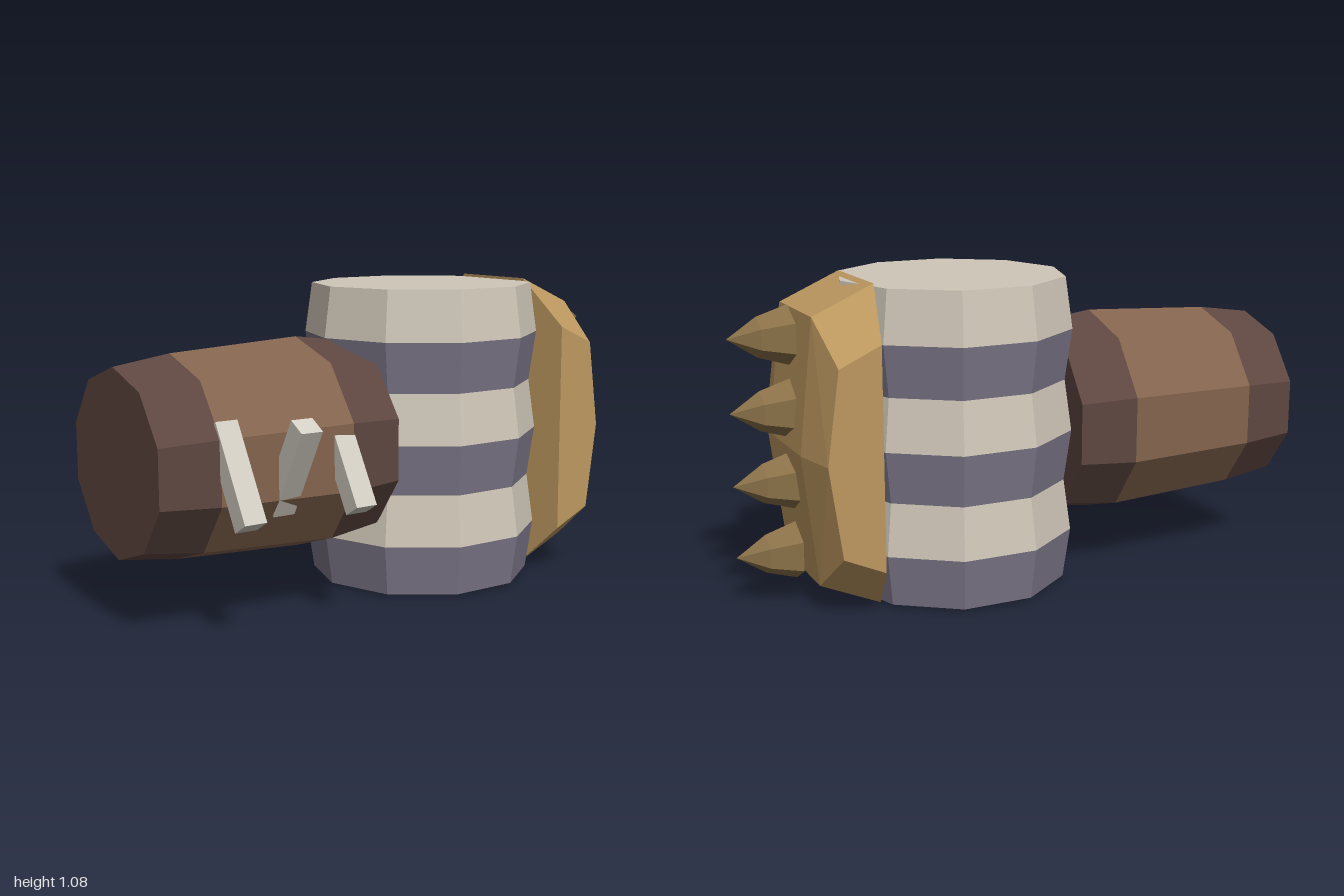
import * as THREE from 'three';
import { ConvexGeometry } from 'three/addons/geometries/ConvexGeometry.js';

const CY = 0.55, CZ = -0.035; // shared axis of handle, drum and plate

function material(name, color) {
  const m = new THREE.MeshStandardMaterial({ color, flatShading: true });
  m.name = name;
  return m;
}

// Faceted turned shape from [radius, height] pairs, with a corner pointing along x
function turned(profile, sides) {
  const points = profile.map(([r, h]) => new THREE.Vector2(r, h));
  return new THREE.LatheGeometry(points, sides, Math.PI / 2);
}

export function createModel() {
  const group = new THREE.Group();
  const mats = {
    cream: material('cream', 0xcfc6b8),
    purple: material('dusty purple', 0x7b7587),
    wood: material('wood', 0x84644e),
    darkWood: material('dark wood', 0x5e4740),
    gold: material('gold', 0xbd9860),
    bronze: material('bronze', 0x8a7148),
    bone: material('bone', 0xd2cec3),
  };

  function add(name, geometry, mat, x, y, z) {
    const mesh = new THREE.Mesh(geometry, mat);
    mesh.name = name;
    mesh.position.set(x, y, z);
    group.add(mesh);
    return mesh;
  }

  // Striped drum: rings alternate between widening and narrowing
  const heights = [0.02, 0.195, 0.373, 0.55, 0.727, 0.903, 1.08];
  const radius = (i) => (i % 2 ? 0.42 : 0.395);
  for (let i = 0; i < 6; i++) {
    const profile = [[radius(i), heights[i]], [radius(i + 1), heights[i + 1]]];
    if (i === 0) profile.unshift([0, heights[0]]);
    if (i === 5) profile.push([0, heights[6]]);
    add('drumRing', turned(profile, 10), i % 2 ? mats.cream : mats.purple, 0.22, 0, CZ);
  }

  // Barrel handle along x, with dark ends
  const sections = [
    ['handleEnd', mats.darkWood, [[0, -1], [0.313, -1], [0.342, -0.8]]],
    ['handleMiddle', mats.wood, [[0.342, -0.8], [0.367, -0.32]]],
    ['handleNeck', mats.darkWood, [[0.367, -0.32], [0.34, -0.12], [0, -0.12]]],
  ];
  for (const [name, mat, profile] of sections) {
    add(name, turned(profile, 10), mat, 0, CY, CZ).rotation.z = -Math.PI / 2;
  }

  // Bevelled striking plate, mirrored in y and z
  const corners = [];
  for (const sy of [1, -1]) {
    for (const sz of [1, -1]) {
      const p = (x, y, z) => corners.push(new THREE.Vector3(x, sy * y, sz * z));
      p(0.56, 0.54, 0.17);
      p(0.6, 0.373, 0.34);
      p(0.77, 0.447, 0.17);
      p(0.742, 0.308, 0.34);
      if (sy > 0) {
        p(0.82, 0, 0.17);
        p(0.785, 0, 0.34);
      }
    }
  }
  add('strikingPlate', new ConvexGeometry(corners), mats.gold, 0, CY, CZ);

  // Row of spikes on the plate
  const spike = turned([[0, 0.795], [0.1, 0.795], [0.067, 0.9], [0, 1]], 6);
  for (let i = 0; i < 4; i++) {
    add('spike', spike, mats.bronze, 0, 0.18 + i * 0.245, CZ).rotation.z = -Math.PI / 2;
  }

  // Slanted pegs on the front of the handle, the middle one tilted the other way
  const peg = new THREE.BoxGeometry(0.078, 0.34, 0.07);
  [-0.765, -0.56, -0.355].forEach((x, i) => {
    add('peg', peg, mats.bone, x, 0.545, 0.32).rotation.x = (i === 1 ? 1 : -1) * Math.PI / 6;
  });

  return group;
}
